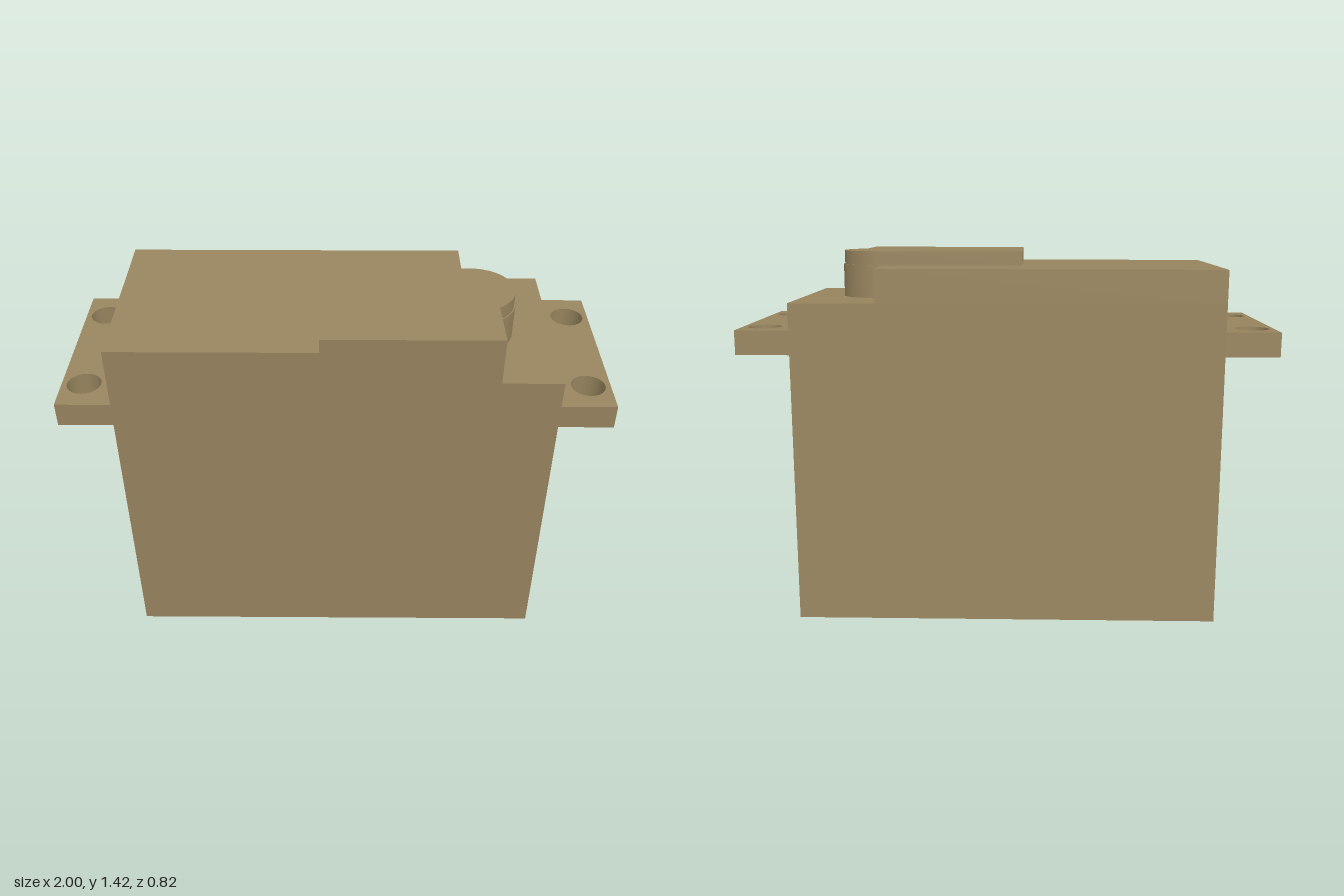
import * as THREE from 'three';

const HALF_W = 0.8;       // half width of the case
const HALF_D = 0.3635;    // half depth of the case
const LEDGE = 1.218;      // height of the low step
const DECK = 1.343;       // height of the main top
const CAP = 1.396;        // height of the raised cover
const TILT = 0.0645;      // lean of the whole unit towards the front

// Extrude a plan outline (x, -z) upwards from y0 to y1.
function slab(name, shape, y0, y1, material) {
  const geometry = new THREE.ExtrudeGeometry(shape, {
    depth: y1 - y0, bevelEnabled: false, curveSegments: 20,
  });
  geometry.rotateX(-Math.PI / 2);
  geometry.translate(0, y0, 0);
  const mesh = new THREE.Mesh(geometry, material);
  mesh.name = name;
  return mesh;
}

function rectangle(x0, x1) {
  const s = new THREE.Shape();
  s.moveTo(x0, -HALF_D);
  s.lineTo(x1, -HALF_D);
  s.lineTo(x1, HALF_D);
  s.lineTo(x0, HALF_D);
  s.closePath();
  return s;
}

// Outline with a straight front corner and a round boss on its left side.
function bossOutline(xStart, radius, endAngle) {
  const cx = 0.5, cy = -0.023, edge = 0.58;
  const s = new THREE.Shape();
  s.moveTo(xStart, -HALF_D);
  s.lineTo(edge, -HALF_D);
  s.absarc(cx, cy, radius, -Math.acos((edge - cx) / radius), endAngle, false);
  return s;
}

export function createModel() {
  const group = new THREE.Group();
  group.name = 'servoMotor';
  const casing = new THREE.MeshStandardMaterial({ color: 0x98855f });
  casing.name = 'tan casing';

  // Main case up to the low step
  group.add(slab('case', rectangle(-HALF_W, HALF_W), 0, LEDGE, casing));

  // Upper case, ending in the round boss
  const upper = bossOutline(-HALF_W, 0.155, Math.PI - Math.acos(0.02 / 0.155));
  upper.lineTo(0.48, HALF_D);
  upper.lineTo(-HALF_W, HALF_D);
  upper.closePath();
  group.add(slab('upperCase', upper, LEDGE, DECK, casing));

  // Raised gear cover
  const cover = bossOutline(-0.055, 0.15, Math.PI / 2);
  cover.lineTo(-0.055, 0.127);
  cover.closePath();
  group.add(slab('gearCover', cover, DECK, CAP, casing));

  // Mounting flanges, each with two screw holes
  for (const side of [-1, 1]) {
    const inner = side * HALF_W, outer = side;
    const plate = rectangle(Math.min(inner, outer), Math.max(inner, outer));
    for (const z of [-0.235, 0.235]) {
      const hole = new THREE.Path();
      hole.absarc(side * 0.918, z, 0.0625, 0, Math.PI * 2, true);
      plate.holes.push(hole);
    }
    group.add(slab(side > 0 ? 'leftFlange' : 'rightFlange', plate, 1.027, 1.118, casing));
  }

  // Lean forward, resting on the lower front edge
  group.rotation.x = TILT;
  group.position.set(0, HALF_D * Math.sin(TILT), -0.043);

  const model = new THREE.Group();
  model.name = 'model';
  model.add(group);
  return model;
}
